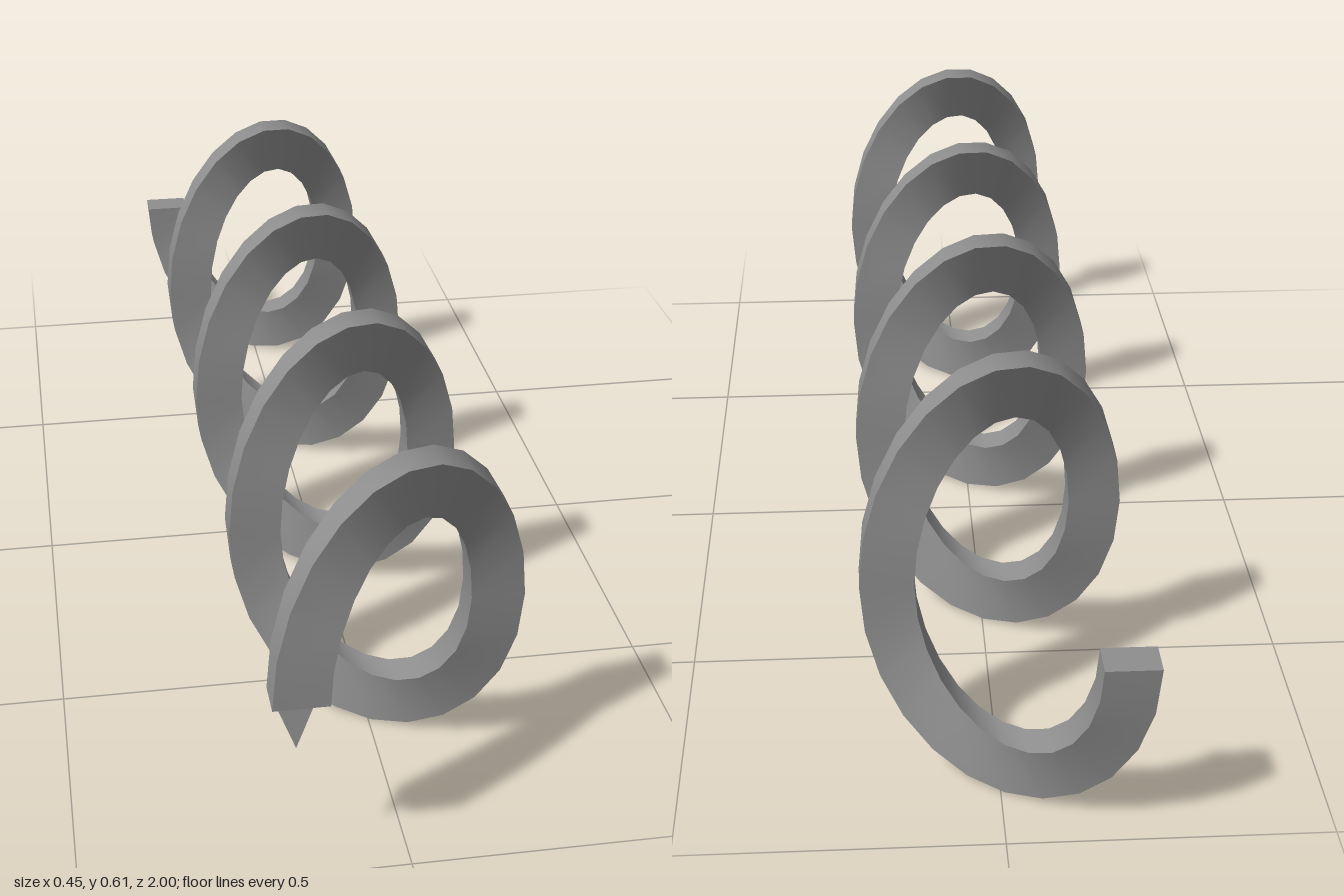
import * as THREE from 'three';
import { toCreasedNormals } from 'three/addons/utils/BufferGeometryUtils.js';

const TURNS = 4, STEPS = 24;          // coils and sides per coil
const MID_Y = 0.305, HALF_DEPTH = 0.03;
const OUTER = [0.217, 0.305], INNER = [0.132, 0.215]; // ellipse radii
const START_Z = 0.97, HALF_PITCH = 0.2425;
const DRIFT = 0.007;                  // slight sideways lean of the axis
const GREY = 0x8e8e8e;

// Centre depth: each half turn lies in a slanted plane, giving a zigzag from above
function depthAt(i) {
  const half = STEPS / 2, k = Math.floor(i / half);
  const local = ((i % half) / half) * Math.PI;
  return START_Z - HALF_PITCH * (k + (1 - Math.cos(local)) / 2);
}

// Four corners of the bar: outer front, inner front, inner back, outer back
function section(i) {
  const a = (i / STEPS) * Math.PI * 2, z = depthAt(i);
  const corner = ([rx, ry], dz) =>
    [-rx * Math.cos(a) + DRIFT * z, MID_Y + ry * Math.sin(a), z + dz];
  return [corner(OUTER, HALF_DEPTH), corner(INNER, HALF_DEPTH),
    corner(INNER, -HALF_DEPTH), corner(OUTER, -HALF_DEPTH)];
}

// Smooth along the bar, sharp at its edges
function makeGeometry(points, index) {
  const g = new THREE.BufferGeometry();
  g.setAttribute('position', new THREE.Float32BufferAttribute(points.flat(), 3));
  g.setIndex(index);
  return toCreasedNormals(g, 0.6);
}

function coilGeometry() {
  const points = [], index = [], n = TURNS * STEPS;
  for (let i = 0; i <= n; i++) points.push(...section(i));
  for (let i = 0; i < n; i++) {
    for (let j = 0; j < 4; j++) {
      const a = i * 4 + j, b = i * 4 + (j + 1) % 4;
      index.push(a, b, b + 4, a, b + 4, a + 4);
    }
  }
  // end caps
  const e = n * 4;
  index.push(0, 2, 1, 0, 3, 2, e, e + 1, e + 2, e, e + 2, e + 3);
  return makeGeometry(points, index);
}

export function createModel() {
  const group = new THREE.Group();
  group.name = 'coilSpring';

  const coil = new THREE.Mesh(coilGeometry(), new THREE.MeshStandardMaterial({ color: GREY }));
  coil.name = 'coil';
  group.add(coil);

  // thin pointed flap below the front end
  const [, , innerBack, outerBack] = section(0);
  const flap = new THREE.Mesh(
    makeGeometry([outerBack, [-0.17, 0.206, 0.96], innerBack], [0, 1, 2]),
    new THREE.MeshStandardMaterial({ color: GREY, side: THREE.DoubleSide }));
  flap.name = 'endFlap';
  group.add(flap);

  return group;
}
